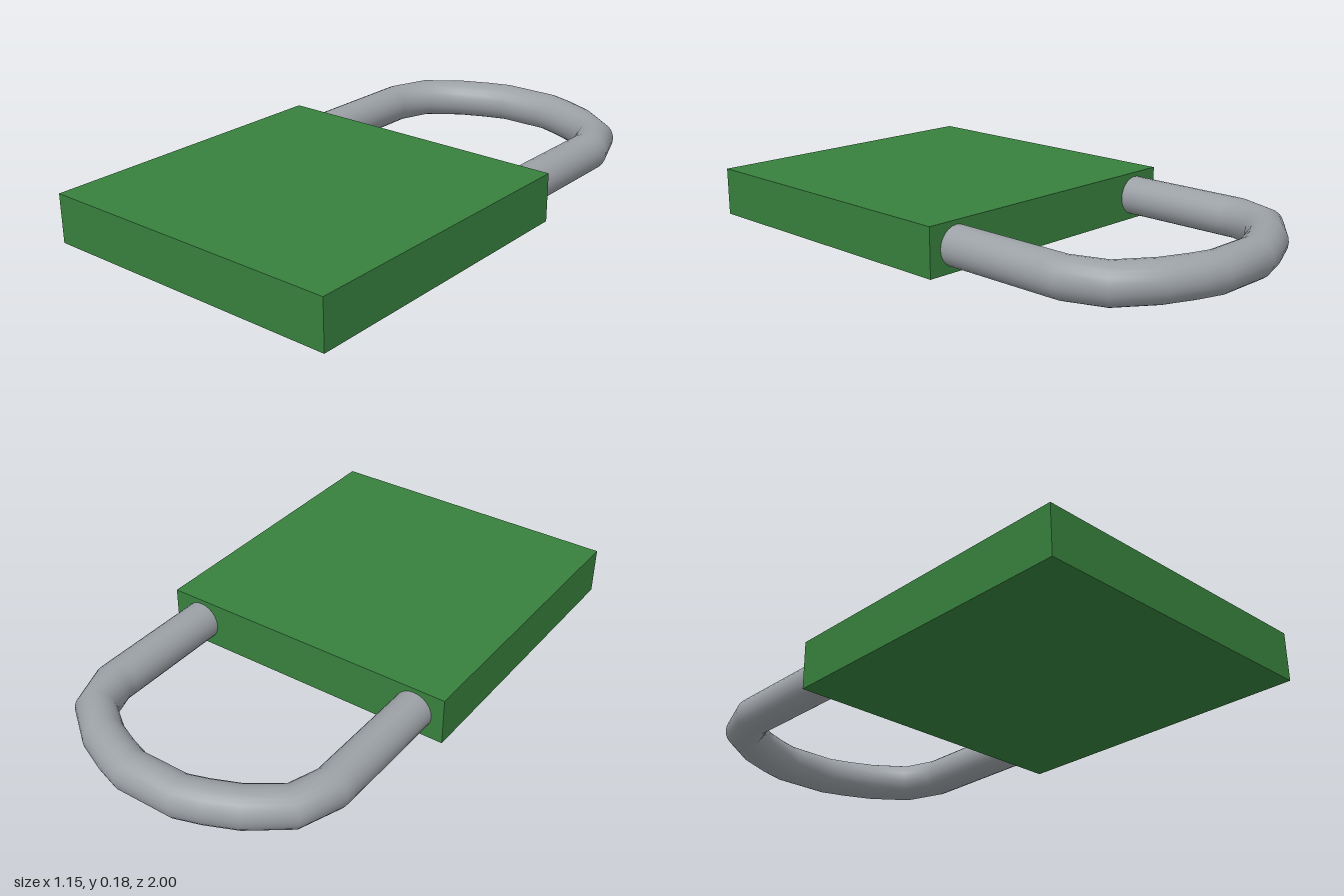
import * as THREE from 'three';

const BODY_H = 0.178;

// Curve that steps through fixed stations, turning at each one
class StationCurve extends THREE.Curve {
  constructor(points) {
    super();
    this.points = points;
  }
  getPoint(t, target = new THREE.Vector3()) {
    const f = t * (this.points.length - 1);
    const i = Math.min(Math.floor(f + 1e-6), this.points.length - 2);
    return target.lerpVectors(this.points[i], this.points[i + 1], f - i);
  }
  getPointAt(t, target) {
    return this.getPoint(t, target);
  }
  getTangentAt(t, target = new THREE.Vector3()) {
    const p = this.points;
    const i = Math.round(t * (p.length - 1));
    target.set(0, 0, 0);
    if (i > 0) target.add(p[i].clone().sub(p[i - 1]).normalize());
    if (i < p.length - 1) target.add(p[i + 1].clone().sub(p[i]).normalize());
    return target.normalize();
  }
}

export function createModel() {
  const group = new THREE.Group();
  group.name = 'padlock';

  const green = new THREE.MeshStandardMaterial({ color: 0x37803d });
  green.name = 'green';
  const steel = new THREE.MeshStandardMaterial({ color: 0x9ca1a6 });
  steel.name = 'steel';

  // Flat rectangular lock body
  const body = new THREE.Mesh(new THREE.BoxGeometry(1.154, BODY_H, 1.155), green);
  body.name = 'body';
  body.position.set(0, BODY_H / 2, 0.4225);
  group.add(body);

  // Shackle: half the path as [x, z], mirrored to the other leg
  const half = [
    [-0.459, -0.1], [-0.459, -0.59], [-0.459, -0.63], [-0.41, -0.765],
    [-0.288, -0.855], [-0.185, -0.9], [-0.1, -0.928],
  ];
  const path = [...half, ...half.map(([x, z]) => [-x, z]).reverse()]
    .map(([x, z]) => new THREE.Vector3(x, BODY_H / 2 + 0.001, z));
  const shackle = new THREE.Mesh(
    new THREE.TubeGeometry(new StationCurve(path), path.length - 1, 0.072, 24), steel);
  shackle.name = 'shackle';
  group.add(shackle);

  return group;
}
